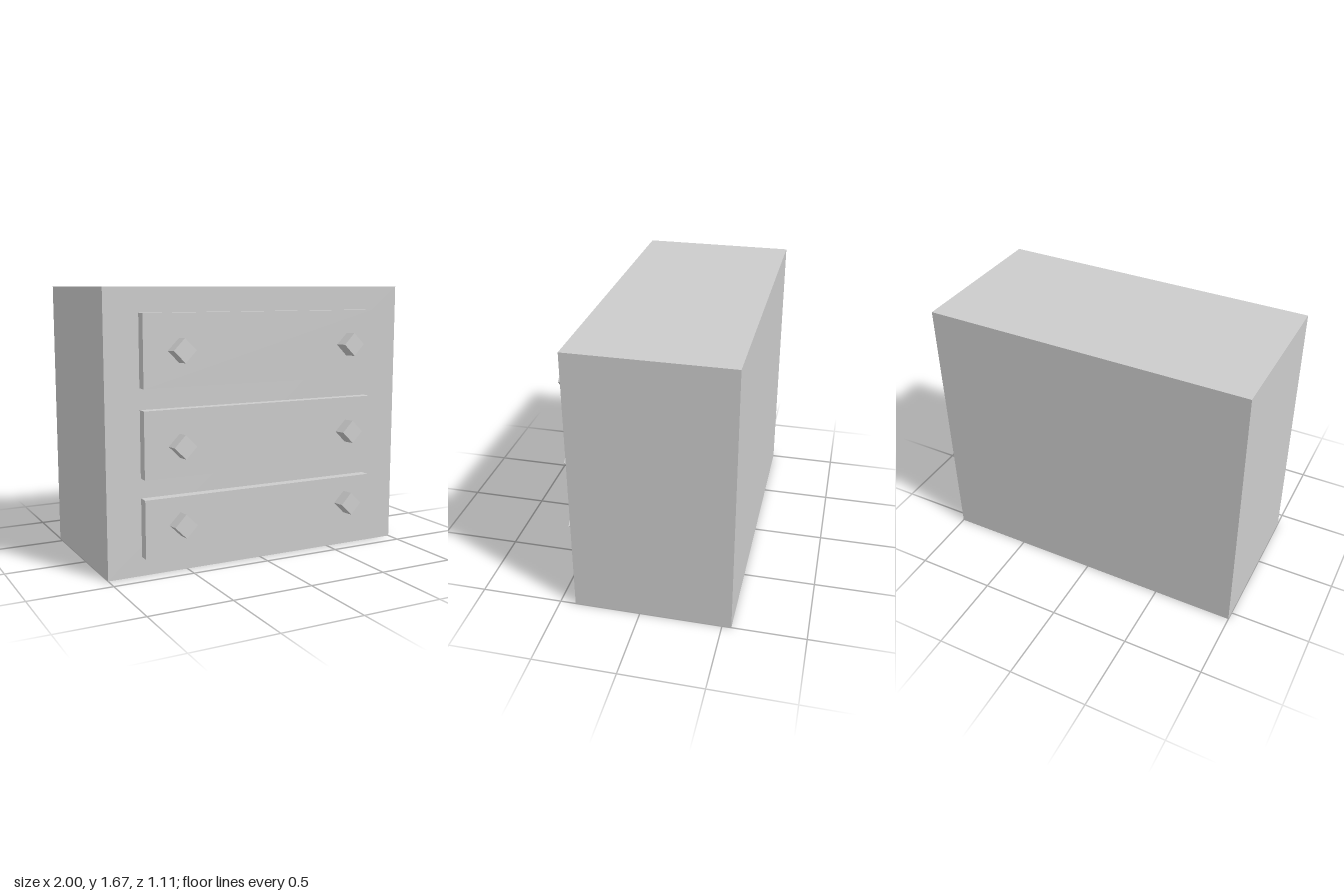
import * as THREE from 'three';

export function createModel() {
  const model = new THREE.Group();
  model.name = 'chestOfDrawers';

  const grey = new THREE.MeshStandardMaterial({ color: 0xcccccc });
  grey.name = 'light grey';

  // Box given by its minimum and maximum corners
  function addBox(parent, name, [x0, y0, z0], [x1, y1, z1]) {
    const mesh = new THREE.Mesh(new THREE.BoxGeometry(x1 - x0, y1 - y0, z1 - z0), grey);
    mesh.position.set((x0 + x1) / 2, (y0 + y1) / 2, (z0 + z1) / 2);
    mesh.name = name;
    parent.add(mesh);
  }

  // Cabinet body
  addBox(model, 'cabinet', [-1, 0, -0.556], [1, 1.675, 0.404]);

  // Drawers grow taller from bottom to top
  const drawers = [
    { name: 'bottomDrawer', bottom: 0.115, top: 0.465, knobY: 0.305 },
    { name: 'middleDrawer', bottom: 0.583, top: 0.98, knobY: 0.77 },
    { name: 'topDrawer', bottom: 1.105, top: 1.53, knobY: 1.32 },
  ];
  const knobGeometry = new THREE.BoxGeometry(0.1, 0.1, 0.13).rotateZ(Math.PI / 4);

  for (const { name, bottom, top, knobY } of drawers) {
    const drawer = new THREE.Group();
    drawer.name = name;
    addBox(drawer, 'drawerFront', [-0.79, bottom, 0.38], [0.765, top, 0.467]);

    // Square knobs set on a corner, tipped slightly upward
    for (const [knobName, x] of [['rightKnob', -0.57], ['leftKnob', 0.58]]) {
      const knob = new THREE.Mesh(knobGeometry, grey);
      knob.name = knobName;
      knob.position.set(x, knobY - 0.003, 0.488);
      knob.rotation.x = -0.05;
      drawer.add(knob);
    }
    model.add(drawer);
  }
  return model;
}
